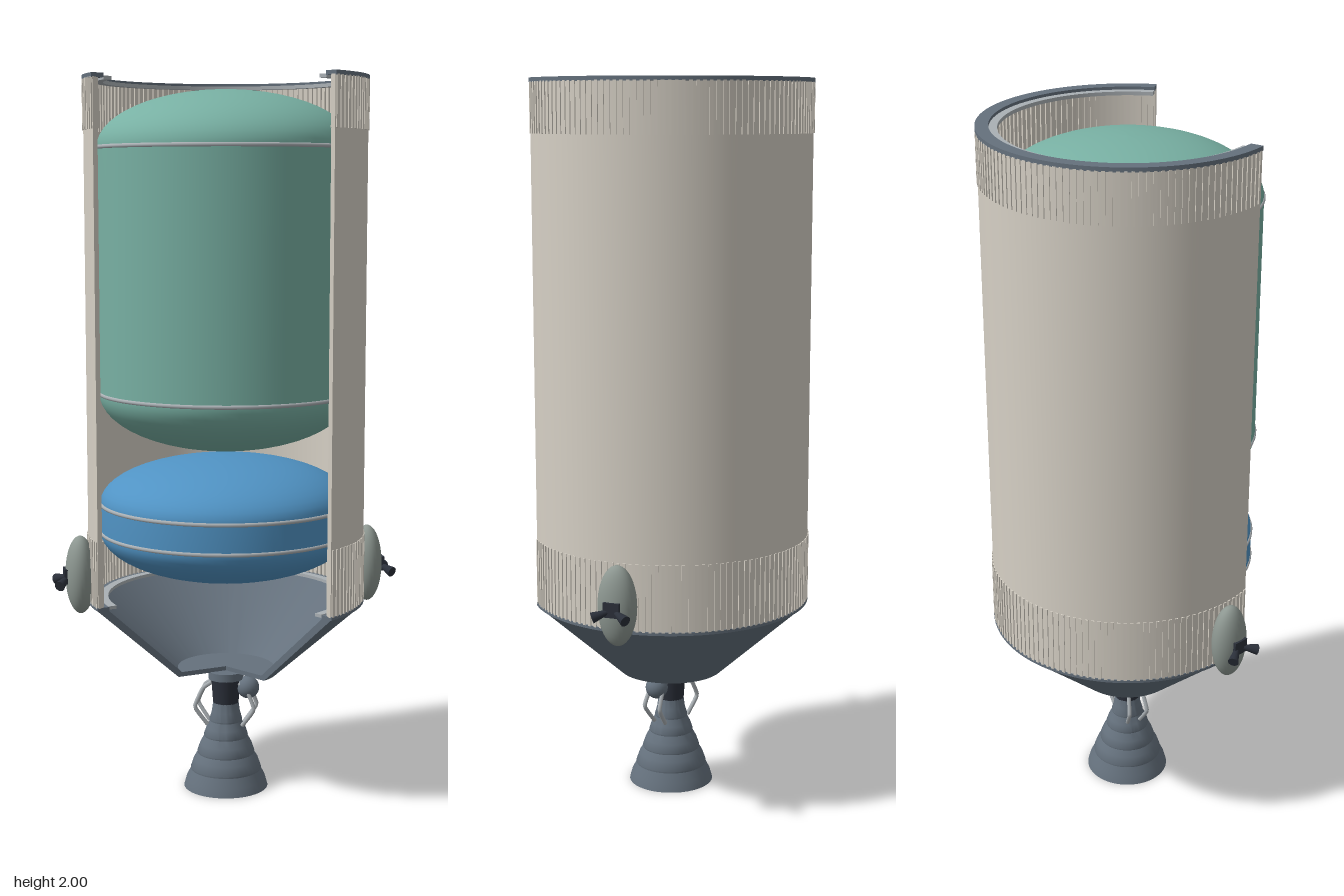
import * as THREE from 'three';
import { mergeGeometries, toCreasedNormals } from 'three/addons/utils/BufferGeometryUtils.js';

const paint = (name, color) => {
  const m = new THREE.MeshStandardMaterial({ color, side: THREE.DoubleSide });
  m.name = name;
  return m;
};
const GAP = 0.968;                      // half angle of the front opening
const ARC = Math.PI * 2 - GAP * 2;
const vec = (pts) => pts.map(([x, y]) => new THREE.Vector2(x, y));
const crease = (g) => toCreasedNormals(g, 0.6);

// Closed cross-section [radius, y] swept around the back, with capped ends
function sector(pts) {
  const sweep = new THREE.LatheGeometry(vec([...pts, pts[0]]), 72, GAP, ARC);
  const caps = [GAP, -GAP].map((a) =>
    new THREE.ShapeGeometry(new THREE.Shape(vec(pts))).rotateY(a - Math.PI / 2));
  return crease(mergeGeometries([sweep, ...caps]));
}
const ring = (r0, r1, y0, y1) => sector([[r0, y0], [r1, y0], [r1, y1], [r0, y1]]);

// Row of thin vertical ribs following the wall
function ribs(radius, y0, y1, count) {
  const list = [];
  for (let i = 0; i < count; i++) {
    const a = GAP + ARC * (i + 0.5) / count;
    list.push(new THREE.BoxGeometry(0.009, y1 - y0, 0.008)
      .translate(0, (y0 + y1) / 2, radius).rotateY(a));
  }
  return mergeGeometries(list);
}

// Cylinder with elliptical domes at both ends
function tankGeometry(r, bottom, low, high, top) {
  const pts = [];
  for (let i = 0; i <= 14; i++) {
    const a = (i / 14) * Math.PI / 2;
    pts.push([r * Math.sin(a), low - (low - bottom) * Math.cos(a)]);
  }
  for (let i = 0; i <= 14; i++) {
    const a = (i / 14) * Math.PI / 2;
    pts.push([r * Math.cos(a), high + (top - high) * Math.sin(a)]);
  }
  return new THREE.LatheGeometry(vec(pts), 72);
}

export function createModel() {
  const cream = paint('cream hull', 0xd6d0c5);
  const slate = paint('slate metal', 0x65717d);
  const silver = paint('silver metal', 0xaab0b4);
  const green = paint('green tank', 0x78b0a3);
  const blue = paint('blue tank', 0x5093c4);
  const podGrey = paint('pod grey', 0x8d9791);
  const black = paint('black metal', 0x2b303a);

  const model = new THREE.Group();
  const body = new THREE.Group();
  body.name = 'stage';
  body.position.z = 0.02;
  model.add(body);
  const add = (name, geometry, material, parent = body) => {
    const mesh = new THREE.Mesh(geometry, material);
    mesh.name = name;
    parent.add(mesh);
    return mesh;
  };

  // Cut-away hull wall with ribbed bands inside and out
  add('hullWall', ring(0.374, 0.387, 0.56, 1.99), cream);
  for (const [name, y0, y1] of [['upper', 1.855, 1.99], ['lower', 0.56, 0.745]]) {
    add(name + 'OuterRibs', ribs(0.386, y0, y1, 96), cream);
    add(name + 'InnerRibs', ribs(0.373, y0, y1, 96), cream);
  }

  // Rims
  add('topRim', ring(0.355, 0.39, 1.988, 2), slate);
  add('topInnerRing', ring(0.333, 0.356, 1.982, 1.992), silver);
  add('bottomRim', ring(0.355, 0.39, 0.553, 0.562), slate);
  add('bottomInnerRing', ring(0.333, 0.356, 0.555, 0.564), silver);

  // Thrust cone, hollow, with a wedge-cut floor
  add('thrustCone', sector([[0, 0.337], [0.147, 0.337], [0.39, 0.555],
    [0.36, 0.555], [0.137, 0.35], [0, 0.35]]), slate);

  // Tanks with weld bands
  add('upperTank', tankGeometry(0.352, 0.98, 1.14, 1.81, 1.965), green);
  add('lowerTank', tankGeometry(0.352, 0.615, 0.75, 0.83, 0.96), blue);
  for (const y of [1.14, 1.81, 0.75, 0.83]) {
    add('weldBand', new THREE.TorusGeometry(0.35, 0.006, 8, 72)
      .rotateX(Math.PI / 2).translate(0, y, 0), silver);
  }

  // Engine
  const engine = new THREE.Group();
  engine.name = 'engine';
  body.add(engine);
  const bell = [[0.12, 0], [0.113, 0.025], [0.1, 0.05], [0.101, 0.054], [0.092, 0.08],
    [0.081, 0.098], [0.082, 0.102], [0.074, 0.125], [0.062, 0.147], [0.063, 0.151],
    [0.056, 0.172], [0.046, 0.192], [0.047, 0.196], [0.04, 0.22], [0.036, 0.25]];
  add('engineBell', crease(new THREE.LatheGeometry(vec(bell), 40)), slate, engine);
  const cylinder = (r0, r1, y0, y1) =>
    new THREE.CylinderGeometry(r1, r0, y1 - y0, 28).translate(0, (y0 + y1) / 2, 0);
  add('combustionChamber', cylinder(0.036, 0.042, 0.238, 0.318), black, engine);
  add('mountPlate', cylinder(0.05, 0.05, 0.316, 0.338), slate, engine);
  add('turbopump', new THREE.SphereGeometry(0.032, 20, 14).translate(0.064, 0.292, 0), slate, engine);
  add('pumpArm', new THREE.BoxGeometry(0.06, 0.025, 0.03).translate(0.04, 0.295, 0), black, engine);

  // Bent feed pipes on both sides
  for (const s of [-1, 1]) for (const t of [-1, 1]) {
    const path = new THREE.CatmullRomCurve3([
      new THREE.Vector3(s * 0.04, 0.305, t * 0.014), new THREE.Vector3(s * 0.062, 0.29, t * 0.022),
      new THREE.Vector3(s * 0.085, 0.235, t * 0.028), new THREE.Vector3(s * 0.05, 0.183, t * 0.02),
    ], false, 'catmullrom', 0.2);
    add('feedPipe', new THREE.TubeGeometry(path, 16, 0.006, 8), silver, engine);
  }

  // Two opposite thruster pods, local +z pointing away from the hull
  for (const side of [0, 1]) {
    const pod = new THREE.Group();
    pod.name = side ? 'rightThrusterPod' : 'leftThrusterPod';
    pod.rotation.y = Math.atan2(0.39, -0.14) + side * Math.PI;
    body.add(pod);
    add('podShell', new THREE.SphereGeometry(1, 28, 20).scale(0.054, 0.11, 0.042)
      .translate(0, 0.636, 0.412), podGrey, pod);
    add('nozzleBlock', new THREE.BoxGeometry(0.045, 0.04, 0.03).translate(0, 0.635, 0.444), black, pod);
    for (const s of [-1, 1]) {
      const nozzle = add('thrusterNozzle',
        new THREE.CylinderGeometry(0.015, 0.007, 0.042, 16), black, pod);
      nozzle.position.set(s * 0.03, 0.622, 0.464);
      nozzle.quaternion.setFromUnitVectors(new THREE.Vector3(0, 1, 0),
        new THREE.Vector3(s * 0.8, -0.3, 0.5).normalize());
    }
  }
  return model;
}
